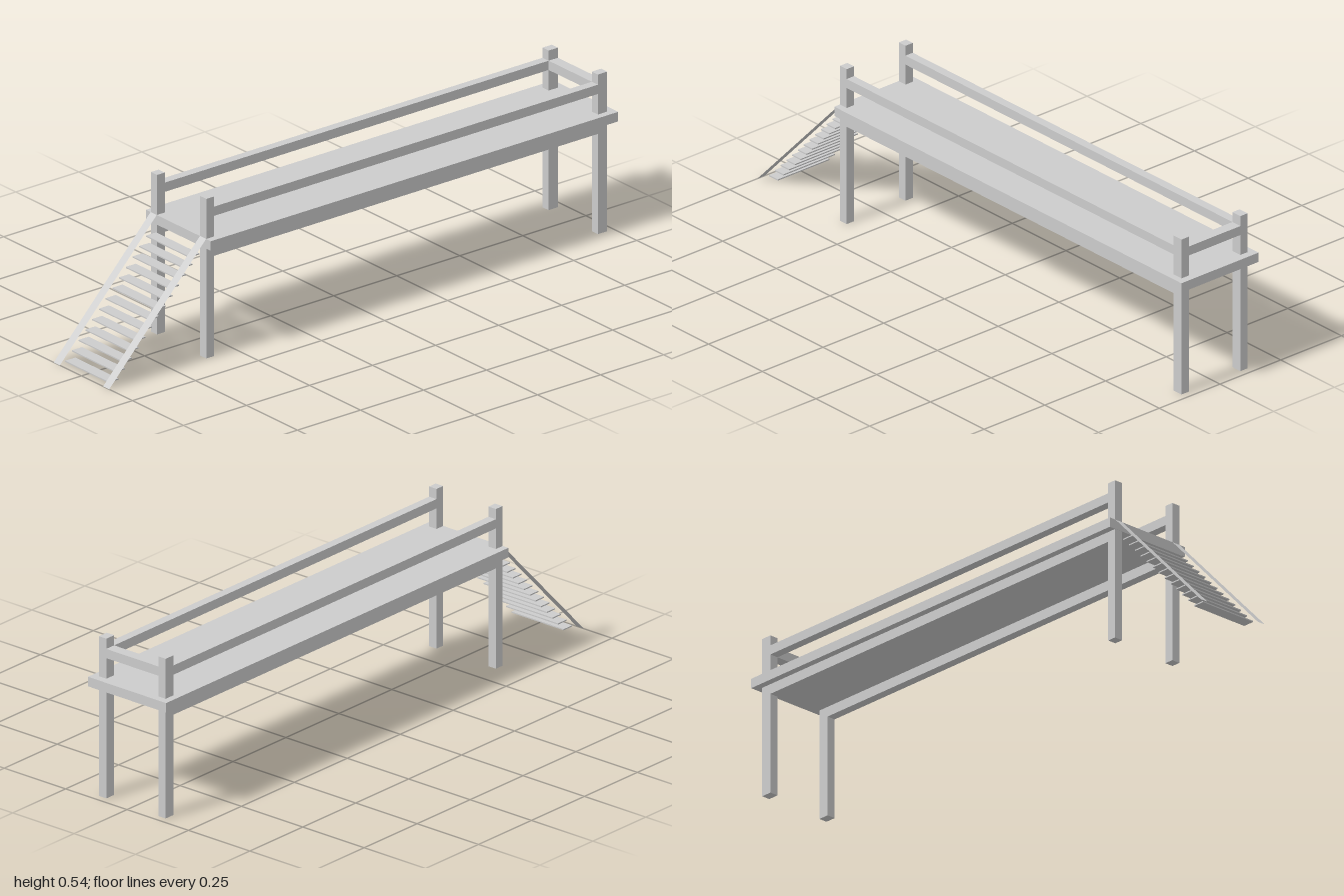
import * as THREE from 'three';

export function createModel() {
  const group = new THREE.Group();
  const material = new THREE.MeshStandardMaterial({ color: 0xcccccc, flatShading: true });
  const sheetMaterial = material.clone();
  sheetMaterial.side = THREE.DoubleSide;

  // Box given by its min and max corners
  function box(name, [x0, y0, z0], [x1, y1, z1]) {
    const mesh = new THREE.Mesh(new THREE.BoxGeometry(x1 - x0, y1 - y0, z1 - z0), material);
    mesh.position.set((x0 + x1) / 2, (y0 + y1) / 2, (z0 + z1) / 2);
    mesh.name = name;
    group.add(mesh);
  }

  const inner = 0.106, outer = 0.136;
  const deckFront = 0.616, deckTop = 0.401, deckBottom = 0.369;
  const frontPost = [0.584, 0.615], rearPost = [-0.975, -0.938];

  // Platform
  box('deck', [-0.159, deckBottom, -1], [0.159, deckTop, deckFront]);

  // Stair slope runs from the deck edge down to the ground
  const rise = deckTop, run = 1 - deckFront;
  const slopeLength = Math.hypot(rise, run);

  for (const side of [-1, 1]) {
    const label = side > 0 ? 'left' : 'right';
    const x0 = side > 0 ? inner : -outer;
    const x1 = side > 0 ? outer : -inner;

    // Posts run from the ground up through the deck
    box(label + 'FrontPost', [x0, 0, frontPost[0]], [x1, 0.535, frontPost[1]]);
    box(label + 'RearPost', [x0, 0, rearPost[0]], [x1, 0.535, rearPost[1]]);

    // Handrail above the deck and beam below it
    box(label + 'Handrail', [x0, 0.47, rearPost[1]], [x1, 0.501, frontPost[0]]);
    box(label + 'Beam', [x0, 0.336, rearPost[1]], [x1, deckBottom, frontPost[0]]);

    // Flat stair stringer lying in the slope
    const stringer = new THREE.Mesh(new THREE.PlaneGeometry(outer - inner, slopeLength), sheetMaterial);
    stringer.rotation.x = -Math.atan2(run, rise);
    stringer.position.set((x0 + x1) / 2, rise / 2, deckFront + run / 2);
    stringer.name = label + 'Stringer';
    group.add(stringer);
  }

  // Rail across the rear end
  box('rearRail', [-inner, 0.47, rearPost[0]], [inner, 0.501, rearPost[1]]);

  // Thin stair treads
  const treads = 13;
  for (let i = 0; i < treads; i++) {
    const y = 0.008 + i * 0.0278;
    const front = 0.979 - i * 0.0267;
    box('tread' + (i + 1), [-inner, y - 0.002, front - 0.04], [inner, y + 0.002, front]);
  }

  return group;
}
